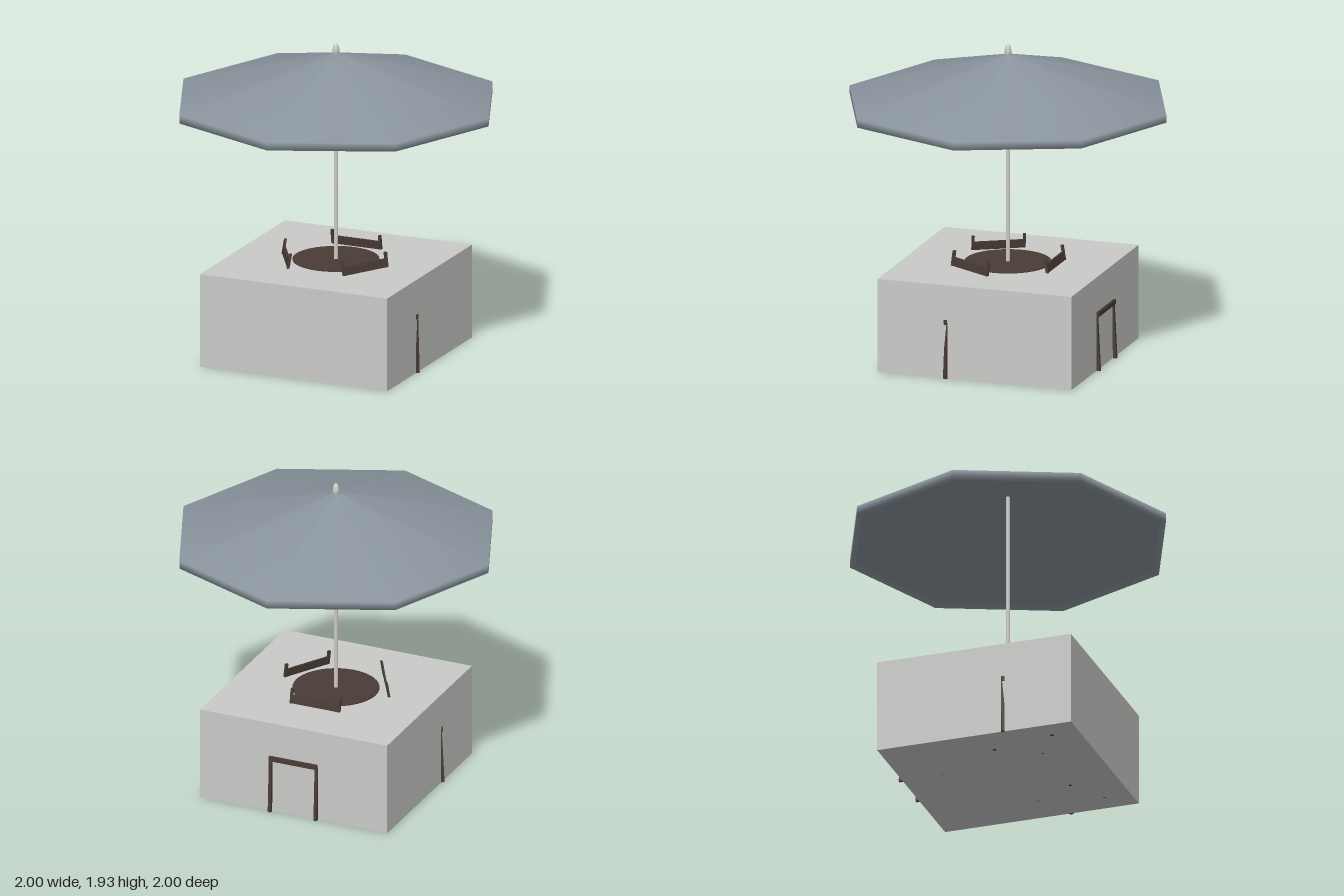
import * as THREE from 'three';

const paint = (name, color) => {
  const m = new THREE.MeshStandardMaterial({ color });
  m.name = name;
  return m;
};

export function createModel() {
  const canopyGrey = paint('canopyGrey', 0x8a949d);
  const blockGrey = paint('blockGrey', 0xcacac8);
  const poleGrey = paint('poleGrey', 0xcfcbc5);
  const brown = paint('brown', 0x4a3c36);

  const root = new THREE.Group();
  root.name = 'parasolSet';

  const add = (parent, name, geometry, material, x = 0, y = 0, z = 0) => {
    const mesh = new THREE.Mesh(geometry, material);
    mesh.name = name;
    mesh.position.set(x, y, z);
    parent.add(mesh);
    return mesh;
  };
  const lathe = (points, sides) =>
    new THREE.LatheGeometry(points.map(([x, y]) => new THREE.Vector2(x, y)), sides);

  // Square bar leaning in z between a bottom (y0, z0) and a top (y1, z1)
  const leaningBar = (parent, name, x, y0, z0, y1, z1, width, depth) => {
    const g = new THREE.BoxGeometry(width, y1 - y0, depth);
    const p = g.attributes.position;
    for (let i = 0; i < p.count; i++) {
      const t = p.getY(i) > 0 ? 1 : 0;
      p.setXYZ(i, p.getX(i) + x, t ? y1 : y0, p.getZ(i) + (t ? z1 : z0));
    }
    g.computeVertexNormals();
    return add(parent, name, g, brown);
  };

  // Large block around the furniture
  add(root, 'block', new THREE.BoxGeometry(1.226, 0.578, 1.226), blockGrey, 0, 0.289, 0);

  // Round tabletop, just proud of the block
  add(root, 'tabletop', new THREE.CylinderGeometry(0.26, 0.26, 0.025, 40), brown, 0, 0.572, 0);

  // Pole, finial and eight-sided canopy shell
  add(root, 'pole', new THREE.CylinderGeometry(0.013, 0.013, 1.86, 20), poleGrey, 0, 0.93, 0);
  add(root, 'finial', lathe([
    [0, 1.85], [0.015, 1.855], [0.02, 1.87], [0.021, 1.885],
    [0.017, 1.908], [0.01, 1.924], [0, 1.93],
  ], 20), poleGrey);
  add(root, 'canopy', lathe([
    [0, 1.845], [0.965, 1.565], [0.965, 1.532], [1, 1.532], [1, 1.582], [0, 1.87],
  ], 8), canopyGrey);

  // Three chairs around the pole, facing outward
  for (let k = 0; k < 3; k++) {
    const chair = new THREE.Group();
    chair.name = 'chair' + (k + 1);
    chair.rotation.y = (k * Math.PI * 2) / 3;
    root.add(chair);

    add(chair, 'seat', new THREE.BoxGeometry(0.315, 0.03, 0.29), brown, 0, 0.348, -0.483);
    leaningBar(chair, 'backrest', 0, 0.45, -0.322, 0.63, -0.294, 0.3, 0.012);
    for (const s of [-1, 1]) {
      leaningBar(chair, 'frontLeg', s * 0.15, 0, -0.626, 0.345, -0.609, 0.02, 0.02);
      leaningBar(chair, 'backLeg', s * 0.15, 0, -0.36, 0.36, -0.338, 0.02, 0.02);
      leaningBar(chair, 'backPost', s * 0.156, 0.36, -0.338, 0.668, -0.288, 0.016, 0.016);
    }
  }
  return root;
}
